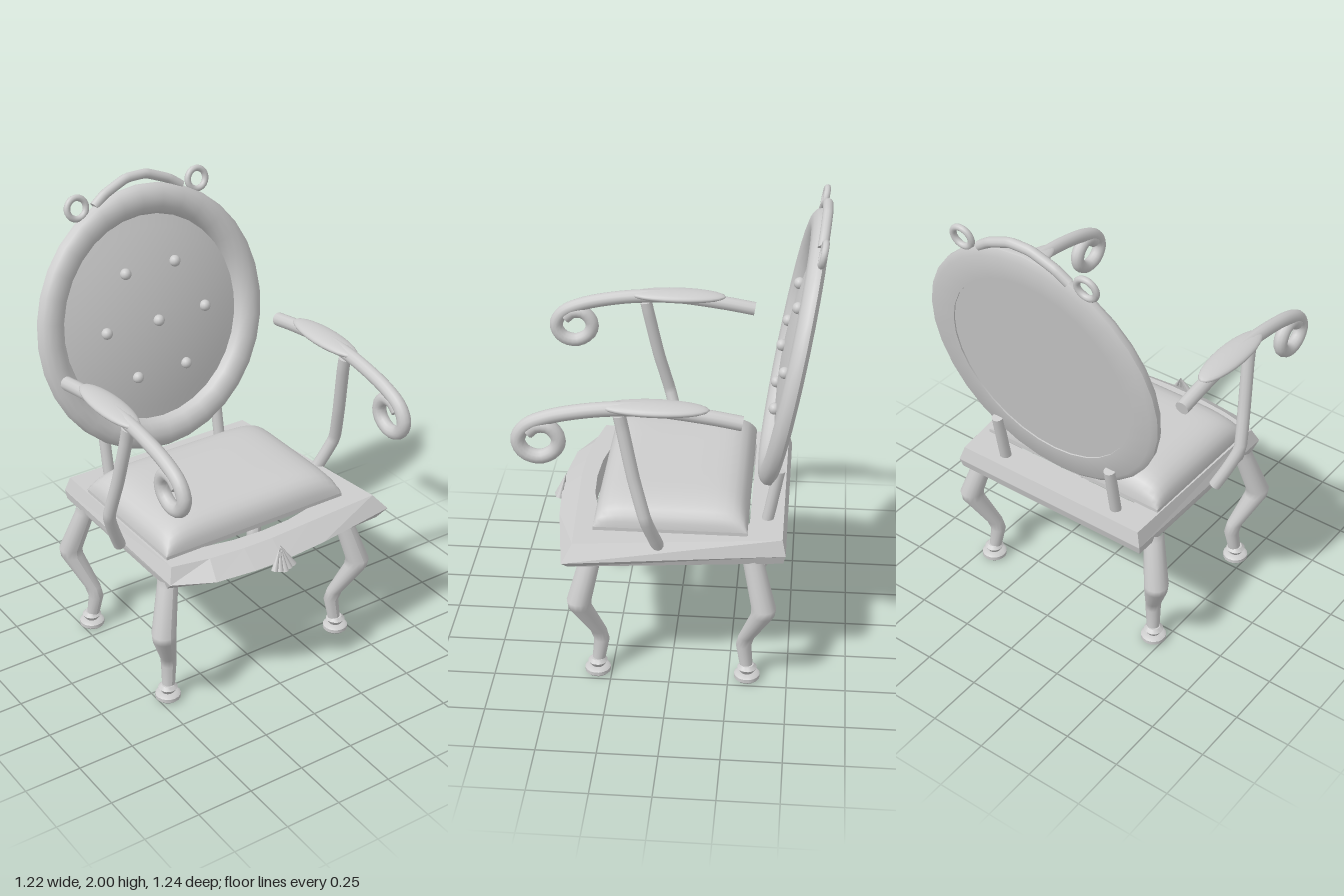
import * as THREE from 'three';
import { mergeGeometries, toCreasedNormals } from 'three/addons/utils/BufferGeometryUtils.js';

const V = (x, y, z) => new THREE.Vector3(x, y, z);

export function createModel() {
  const grey = new THREE.MeshStandardMaterial({ color: 0xcccccc });
  grey.name = 'light grey';
  const model = new THREE.Group();
  model.name = 'armchair';
  const chair = new THREE.Group();
  chair.name = 'chair';
  chair.position.x = -0.0065;
  model.add(chair);

  function add(name, geometry, parent = chair) {
    const mesh = new THREE.Mesh(geometry, grey);
    mesh.name = name;
    parent.add(mesh);
    return mesh;
  }

  // Round rod along points, with flat end caps
  function rod(points, radius, segments, sides = 12, tension = 0.5) {
    const curve = new THREE.CatmullRomCurve3(points, false, 'catmullrom', tension);
    const parts = [new THREE.TubeGeometry(curve, segments, radius, sides)];
    for (const end of [0, 1]) {
      const p = curve.getPointAt(end);
      const t = curve.getTangentAt(end).multiplyScalar(end ? 1 : -1);
      const cap = new THREE.CircleGeometry(radius, sides);
      cap.applyQuaternion(new THREE.Quaternion().setFromUnitVectors(V(0, 0, 1), t));
      cap.translate(p.x, p.y, p.z);
      parts.push(cap);
    }
    return mergeGeometries(parts);
  }

  // Stack of level circles; each row is [x, y, z, radius], from top to bottom
  function stack(rows, sides = 14) {
    const geo = new THREE.CylinderGeometry(1, 1, 1, sides, rows.length - 1, true);
    const pos = geo.attributes.position;
    for (let i = 0; i < pos.count; i++) {
      const [x, y, z, r] = rows[Math.floor(i / (sides + 1))];
      pos.setXYZ(i, x + pos.getX(i) * r, y, z + pos.getZ(i) * r);
    }
    geo.computeVertexNormals();
    return geo;
  }

  // Curved legs and turned feet
  const footProfile = [[0, 0], [0.045, 0], [0.055, 0.01], [0.055, 0.026], [0.045, 0.034],
    [0.028, 0.036], [0.042, 0.058], [0.028, 0.072], [0, 0.072]].map(p => new THREE.Vector2(...p));
  const footGeo = toCreasedNormals(new THREE.LatheGeometry(footProfile, 18), 0.6);
  for (const sx of [-1, 1]) {
    for (const sz of [-1, 1]) {
      const rows = [[0.447, 0.63, 0.33, 0.044], [0.45, 0.6, 0.335, 0.044], [0.503, 0.4, 0.386, 0.052],
        [0.5, 0.365, 0.383, 0.05], [0.44, 0.21, 0.315, 0.035], [0.431, 0.16, 0.303, 0.033],
        [0.443, 0.05, 0.318, 0.027]];
      add(sz > 0 ? 'frontLeg' : 'backLeg',
        stack(rows.map(([x, y, z, r]) => [sx * x, y, sz * z - 0.01, r])));
      add('foot', footGeo).position.set(sx * 0.447, 0, sz * 0.32 - 0.01);
    }
  }

  // Seat frame: bevelled ring with a bowed front and an open middle
  const bottom = [[-0.475, -0.47], [-0.48, 0.36], [-0.31, 0.42], [-0.14, 0.44],
    [0, 0.44], [0.21, 0.43], [0.566, 0.41], [0.47, -0.47]];
  const middle = [[-0.48, -0.48], [-0.49, 0.4], [-0.32, 0.485], [-0.14, 0.505],
    [0, 0.508], [0.22, 0.49], [0.61, 0.43], [0.48, -0.48]];
  const top = [[-0.46, -0.465], [-0.465, 0.37], [-0.3, 0.405], [-0.14, 0.42],
    [0, 0.422], [0.2, 0.41], [0.555, 0.39], [0.46, -0.465]];
  const inner = [[-0.34, -0.325], [-0.34, 0.3], [-0.27, 0.32], [-0.14, 0.345],
    [0, 0.353], [0.14, 0.345], [0.34, 0.3], [0.34, -0.325]];
  const rings = [[bottom, 0.605], [middle, 0.645], [top, 0.71], [inner, 0.71], [inner, 0.605], [bottom, 0.605]];
  const corners = [];
  const n = bottom.length;
  for (let k = 0; k < rings.length - 1; k++) {
    for (let i = 0; i < n; i++) {
      const at = (ring, j) => [ring[0][j % n][0], ring[1], ring[0][j % n][1]];
      const a = at(rings[k], i), b = at(rings[k], i + 1);
      const c = at(rings[k + 1], i + 1), d = at(rings[k + 1], i);
      corners.push(...a, ...b, ...c, ...a, ...c, ...d);
    }
  }
  const frameGeo = new THREE.BufferGeometry();
  frameGeo.setAttribute('position', new THREE.Float32BufferAttribute(corners, 3));
  frameGeo.computeVertexNormals();
  add('seatFrame', frameGeo).position.x = 0.0065;

  // Padded seat: flat below, pillowed on top
  const cushionGeo = new THREE.BoxGeometry(2, 1, 2, 24, 1, 20);
  const cp = cushionGeo.attributes.position;
  for (let i = 0; i < cp.count; i++) {
    const u = Math.sin(cp.getX(i) * Math.PI / 2), v = Math.sin(cp.getZ(i) * Math.PI / 2);
    const swell = Math.sqrt(Math.max(0, (1 - Math.abs(u) ** 7) * (1 - Math.abs(v) ** 7)));
    cp.setXYZ(i, u * 0.448, cp.getY(i) > 0 ? 0.725 + 0.113 * swell : 0.705, v * 0.319);
  }
  cushionGeo.computeVertexNormals();
  add('seatCushion', cushionGeo);

  // Fan of ribs on the front rail
  for (let i = -2; i <= 2; i++) {
    const from = V(0, 0.715, 0.49), to = V(i * 0.024, 0.607 + Math.abs(i) * 0.005, 0.53 - Math.abs(i) * 0.006);
    const dir = from.clone().sub(to);
    const rib = new THREE.ConeGeometry(0.015, dir.length(), 8);
    rib.applyQuaternion(new THREE.Quaternion().setFromUnitVectors(V(0, 1, 0), dir.clone().normalize()));
    const mid = from.clone().add(to).multiplyScalar(0.5);
    add('shellRib', rib.translate(mid.x, mid.y, mid.z));
  }

  // Arms: scrolled rod, flat pad and bent post. Scroll path is [z, y].
  const armPath = [[-0.295, 1.283], [-0.15, 1.307], [0.055, 1.33], [0.22, 1.325], [0.35, 1.308],
    [0.47, 1.28], [0.56, 1.238], [0.597, 1.175], [0.57, 1.118], [0.507, 1.1], [0.449, 1.132],
    [0.434, 1.186], [0.468, 1.234], [0.52, 1.238], [0.555, 1.21]];
  for (const s of [-1, 1]) {
    add('armRest', rod(armPath.map(([z, y]) => V(s * 0.538, y, z)), 0.03, 64));
    const pad = new THREE.SphereGeometry(1, 24, 14).scale(0.064, 0.026, 0.215);
    add('armPad', pad).position.set(s * 0.538, 1.335, 0.048);
    add('armPost', rod([V(s * 0.538, 1.3, 0.19), V(s * 0.54, 1.24, 0.178), V(s * 0.56, 1.03, 0.135),
      V(s * 0.579, 0.85, 0.088), V(s * 0.54, 0.74, 0.056), V(s * 0.5, 0.65, 0.03)], 0.027, 20, 12, 0.2));
  }

  // Posts joining the back to the seat
  for (const s of [-1, 1]) {
    add('backPost', rod([V(s * 0.293, 0.587, -0.372), V(s * 0.293, 0.72, -0.4), V(s * 0.293, 0.94, -0.44)], 0.025, 4));
  }

  // Oval back, leaning rearwards
  const back = new THREE.Group();
  back.name = 'backRest';
  back.position.set(0, 1.362, -0.475);
  back.rotation.x = -0.18;
  chair.add(back);

  const oval = profile => toCreasedNormals(
    new THREE.LatheGeometry(profile.map(p => new THREE.Vector2(...p)), 32)
      .rotateX(Math.PI / 2).scale(1, 1.055, 1), 0.65);
  add('backFrame', oval([[0.433, -0.034], [0.535, -0.034], [0.56, -0.018], [0.56, 0.002], [0.55, 0.018],
    [0.53, 0.032], [0.5, 0.038], [0.468, 0.03], [0.447, 0.012], [0.433, -0.015], [0.433, -0.034]]), back);
  const dome = r => 0.038 - 0.3 * r * r;
  const panel = [[0, -0.028], [0.436, -0.028]];
  for (let i = 8; i >= 0; i--) panel.push([0.436 * i / 8, dome(0.436 * i / 8)]);
  add('backPanel', oval(panel), back);

  // Buttons on the back panel
  const buttonGeo = new THREE.SphereGeometry(0.025, 14, 10);
  for (const [x, y] of [[-0.124, 0.234], [0.124, 0.234], [-0.25, 0], [0, 0], [0.25, 0], [-0.124, -0.234], [0.124, -0.234]]) {
    add('button', buttonGeo, back).position.set(x, y, dome(Math.hypot(x, y)) + 0.008);
  }

  // Crest rail and its two rings
  const crest = [[-0.215, 0.545], [-0.16, 0.585], [-0.05, 0.63], [0.05, 0.63], [0.16, 0.585], [0.215, 0.545]];
  add('crestRail', rod(crest.map(([x, y]) => V(x, y, -0.008)), 0.021, 24, 12, 0.15), back);
  for (const s of [-1, 1]) {
    add('crestRing', new THREE.TorusGeometry(0.045, 0.014, 10, 24), back).position.set(s * 0.298, 0.555, -0.01);
  }
  return model;
}
